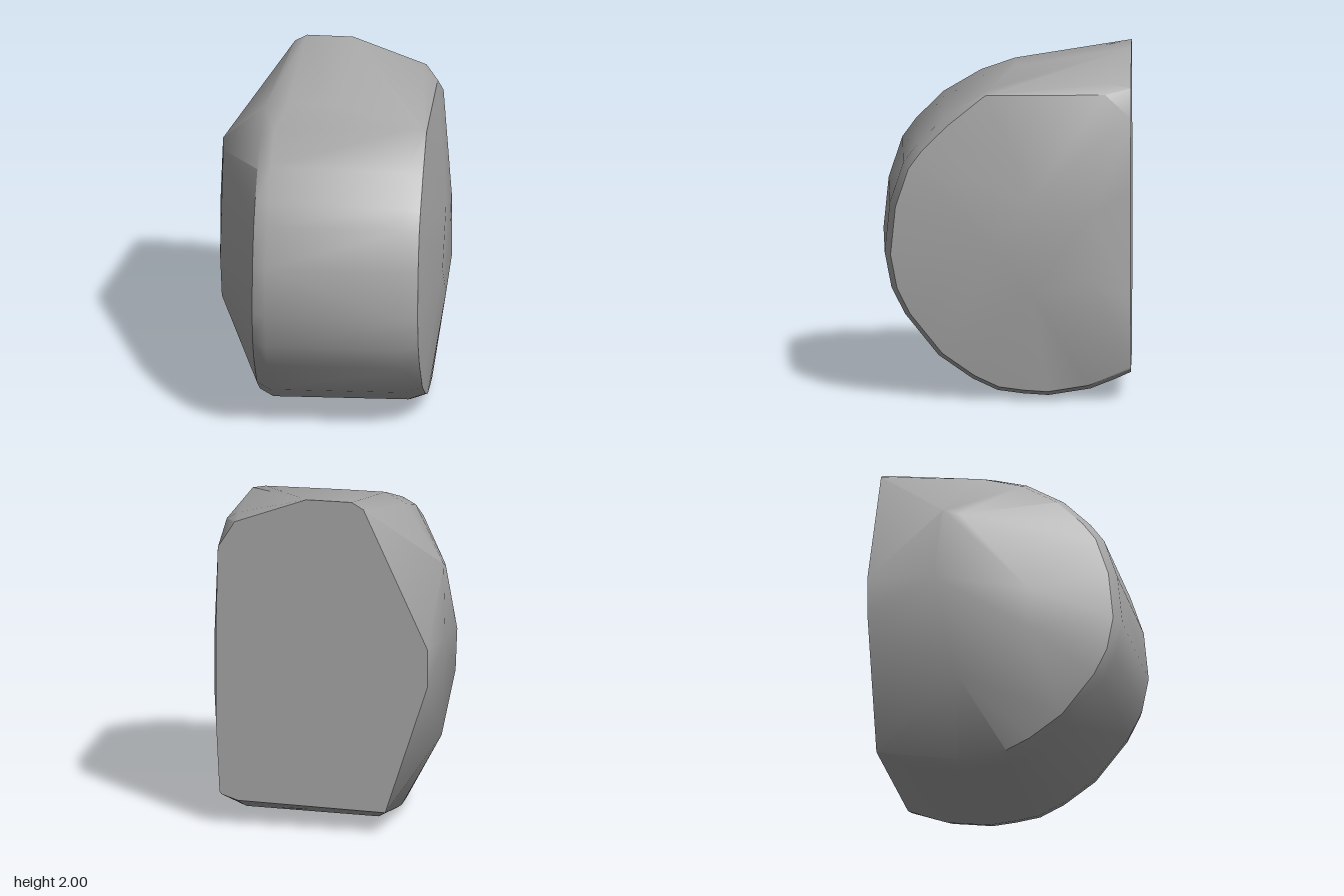
import * as THREE from 'three';
import { ConvexGeometry } from 'three/addons/geometries/ConvexGeometry.js';
import { toCreasedNormals } from 'three/addons/utils/BufferGeometryUtils.js';

// Rounded side profile as [z, y], from the upper front, under the belly, to the back
const PROFILE = [
  [0.15, 1.8], [0.37, 1.67], [0.53, 1.51], [0.61, 1.4], [0.69, 1.16], [0.72, 0.86],
  [0.68, 0.65], [0.6, 0.49], [0.4, 0.24], [0.2, 0.1], [0.05, 0.03], [-0.1, 0.01],
  [-0.25, 0], [-0.5, 0.04], [-0.65, 0.1], [-0.73, 0.14],
];

// The profile at one x, drawn in towards its middle by a scale
function ring(x, scale) {
  return PROFILE.map(([z, y]) => new THREE.Vector3(
    x,
    0.95 + (y - 0.95) * scale,
    z === -0.73 ? z : -0.15 + (z + 0.15) * scale,
  ));
}

export function createModel() {
  const stone = new THREE.MeshStandardMaterial({ color: 0xa8a8a8 });
  stone.name = 'grey stone';

  const points = [
    ...ring(-0.39, 0.955), ...ring(-0.31, 1), ...ring(0.48, 0.985), ...ring(0.58, 0.945),
  ];
  const add = (list) => list.forEach((p) => points.push(new THREE.Vector3(...p)));

  // Raised ridge at the top of the back
  add([
    [-0.27, 1.96, -0.73], [-0.2, 2, -0.73], [0.07, 2, -0.73], [0.5, 1.84, -0.73],
    [0.5, 1.865, -0.6], [0.58, 1.815, -0.58], [0.6, 1.68, -0.73],
    [-0.25, 1.88, -0.05], [0, 1.88, -0.05], [-0.39, 1.83, -0.1], [0.5, 1.83, 0.1],
    [0.58, 1.81, 0.12],
  ]);
  // Bulging cap on the -x side
  add([
    [-0.65, 1.53, -0.28], [-0.64, 1.5, -0.18], [-0.62, 1, 0.22], [-0.67, 1.1, -0.33],
    [-0.655, 1.13, -0.73], [-0.655, 0.91, -0.73], [-0.62, 0.47, -0.2],
    [-0.61, 0.75, 0.22], [-0.4, 0.13, -0.73],
  ]);
  // Shallow cap on the +x side
  add([
    [0.67, 1.22, -0.15], [0.67, 0.65, -0.15], [0.67, 0.9, 0.07], [0.67, 1.12, -0.5],
    [0.67, 0.72, -0.5], [0.61, 1.25, -0.73], [0.61, 0.6, -0.73], [0.59, 0.2, -0.73],
  ]);

  const rock = new THREE.Mesh(toCreasedNormals(new ConvexGeometry(points), 0.6), stone);
  rock.name = 'rock';

  const model = new THREE.Group();
  model.name = 'cutRock';
  model.add(rock);
  return model;
}
